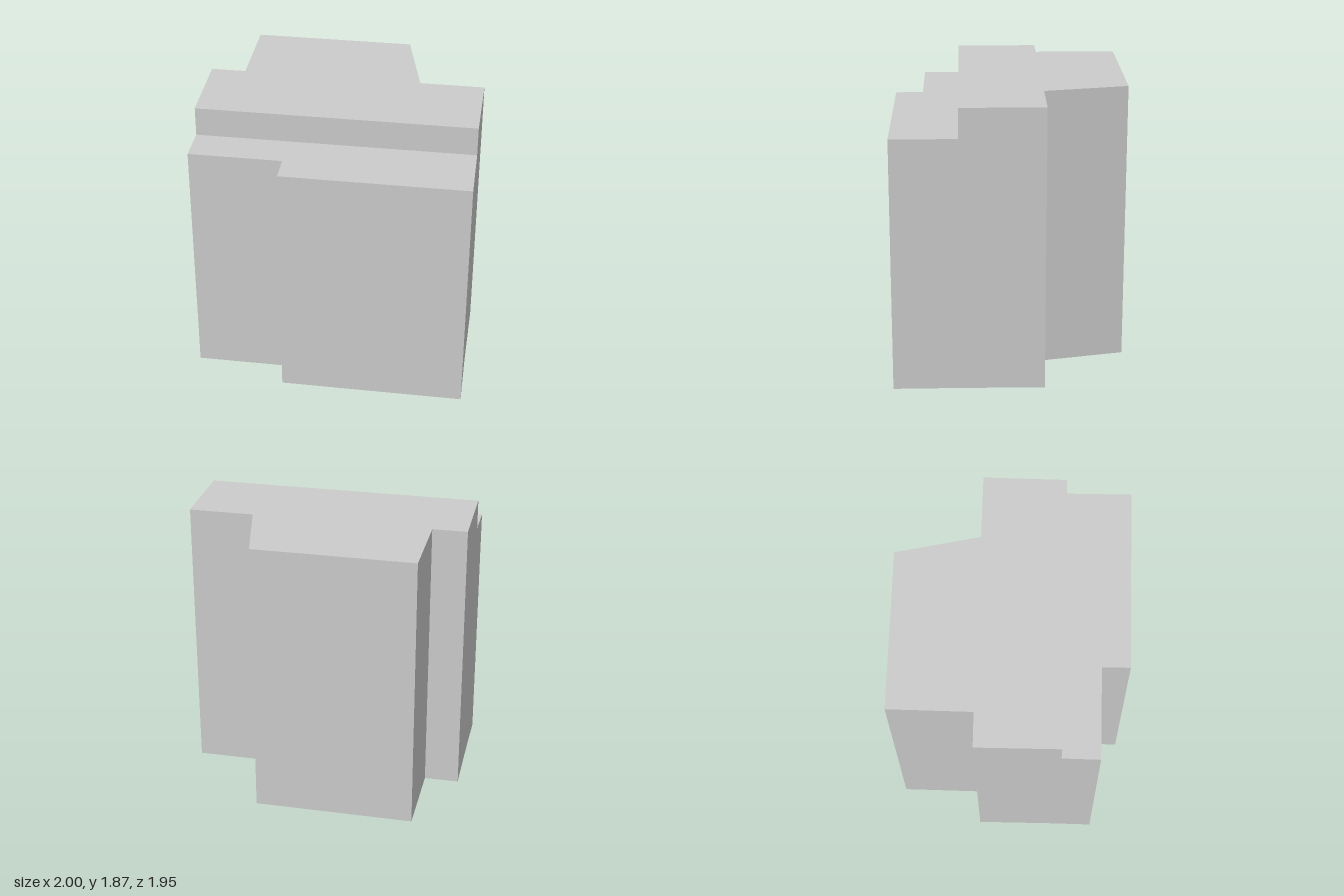
import * as THREE from 'three';

const material = new THREE.MeshStandardMaterial({ color: 0xcccccc, flatShading: true });

// Upright block raised from a ground plan of [x, z] corners
function block(name, plan, height) {
  const shape = new THREE.Shape(plan.map(([x, z]) => new THREE.Vector2(x, -z)));
  const geometry = new THREE.ExtrudeGeometry(shape, { depth: height, bevelEnabled: false });
  geometry.rotateX(-Math.PI / 2);
  const mesh = new THREE.Mesh(geometry, material);
  mesh.name = name;
  return mesh;
}

export function createModel() {
  const group = new THREE.Group();
  group.name = 'building';

  // Ends of the line where the roof steps down
  const stepRight = [-0.923, 0.002];
  const stepLeft = [0.827, 0.561];

  // Tall rear part with notched back corners
  group.add(block('mainBlock', [
    stepRight, stepLeft, [0.997, 0.04], [0.59, -0.09],
    [0.64, -0.655], [-0.37, -0.978], [-0.54, -0.455], [-0.759, -0.522],
  ], 1.87));

  // Lower front part with a set-back corner
  group.add(block('frontBlock', [
    stepLeft, stepRight, [-1, 0.237], [-0.415, 0.424],
    [-0.47, 0.6], [0.698, 0.975],
  ], 1.673));

  return group;
}
